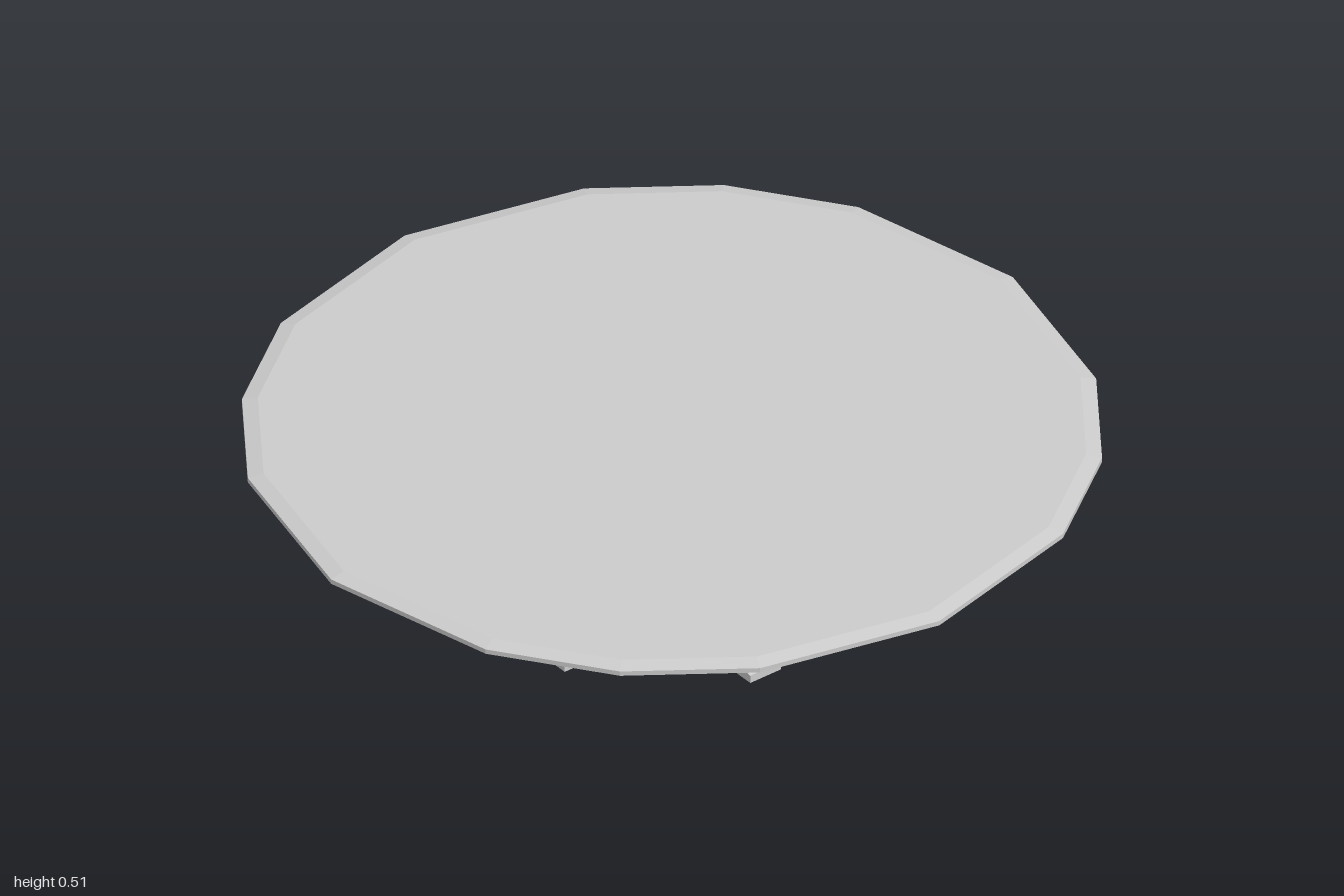
import * as THREE from 'three';

const material = new THREE.MeshStandardMaterial({ color: 0xcccccc, flatShading: true });

// Skin between closed rings of [x, y, z] points, listed bottom to top, with end caps.
function loft(rings) {
  const pos = [];
  const n = rings[0].length;
  const tri = (a, b, c) => pos.push(...a, ...b, ...c);
  for (let r = 0; r < rings.length - 1; r++) {
    for (let i = 0; i < n; i++) {
      const j = (i + 1) % n;
      const [low, high] = [rings[r], rings[r + 1]];
      tri(low[i], high[i], high[j]);
      tri(low[i], high[j], low[j]);
    }
  }
  const bottom = rings[0], top = rings[rings.length - 1];
  for (let i = 0; i < n; i++) {
    const j = (i + 1) % n;
    tri([0, bottom[0][1], 0], bottom[i], bottom[j]);
    tri([0, top[0][1], 0], top[j], top[i]);
  }
  const geometry = new THREE.BufferGeometry();
  geometry.setAttribute('position', new THREE.Float32BufferAttribute(pos, 3));
  geometry.computeVertexNormals();
  return geometry;
}

function addMesh(parent, name, geometry) {
  const mesh = new THREE.Mesh(geometry, material);
  mesh.name = name;
  parent.add(mesh);
  return mesh;
}

export function createModel() {
  const group = new THREE.Group();
  group.name = 'pedestalTable';

  // Tabletop: sixteen unevenly spaced corners with a bevelled upper rim
  const angles = [0, 26.4, 45, 63.6];
  const disc = (radius, y) => {
    const ring = [];
    for (let q = 0; q < 4; q++) {
      for (const a of angles) {
        const t = THREE.MathUtils.degToRad(a + q * 90);
        ring.push([radius * Math.cos(t), y, radius * Math.sin(t)]);
      }
    }
    return ring;
  };
  addMesh(group, 'tabletop', loft([
    disc(0.83, 0.487), disc(1, 0.493), disc(1, 0.505), disc(0.963, 0.513),
  ]));

  // Column: octagonal shaft that flares where the legs join
  const octagon = (hx, hz, flatX, flatZ, y) => [
    [hx, y, -flatZ], [hx, y, flatZ], [flatX, y, hz], [-flatX, y, hz],
    [-hx, y, flatZ], [-hx, y, -flatZ], [-flatX, y, -hz], [flatX, y, -hz],
  ];
  addMesh(group, 'column', loft([
    octagon(0.117, 0.117, 0.05, 0.045, 0.075),
    octagon(0.107, 0.11, 0.047, 0.043, 0.15),
    octagon(0.099, 0.099, 0.043, 0.04, 0.489),
  ]));

  // Legs: sloping side profile with a flat foot, extruded across the width
  const profile = [
    [0.09, 0.075], [0.117, 0.075], [0.235, 0.02], [0.235, 0],
    [0.35, 0], [0.35, 0.02], [0.337, 0.022], [0.107, 0.15], [0.09, 0.15],
  ];
  for (let i = 0; i < 4; i++) {
    const alongZ = i % 2 === 1;
    const width = alongZ ? 0.1 : 0.09;
    const shape = new THREE.Shape(profile.map(([x, y]) => new THREE.Vector2(x + (alongZ ? 0.004 : 0), y)));
    const geometry = new THREE.ExtrudeGeometry(shape, { depth: width, bevelEnabled: false });
    geometry.translate(0, 0, -width / 2);
    const leg = addMesh(group, ['leftLeg', 'backLeg', 'rightLeg', 'frontLeg'][i], geometry);
    leg.rotation.y = i * Math.PI / 2;
  }

  return group;
}
